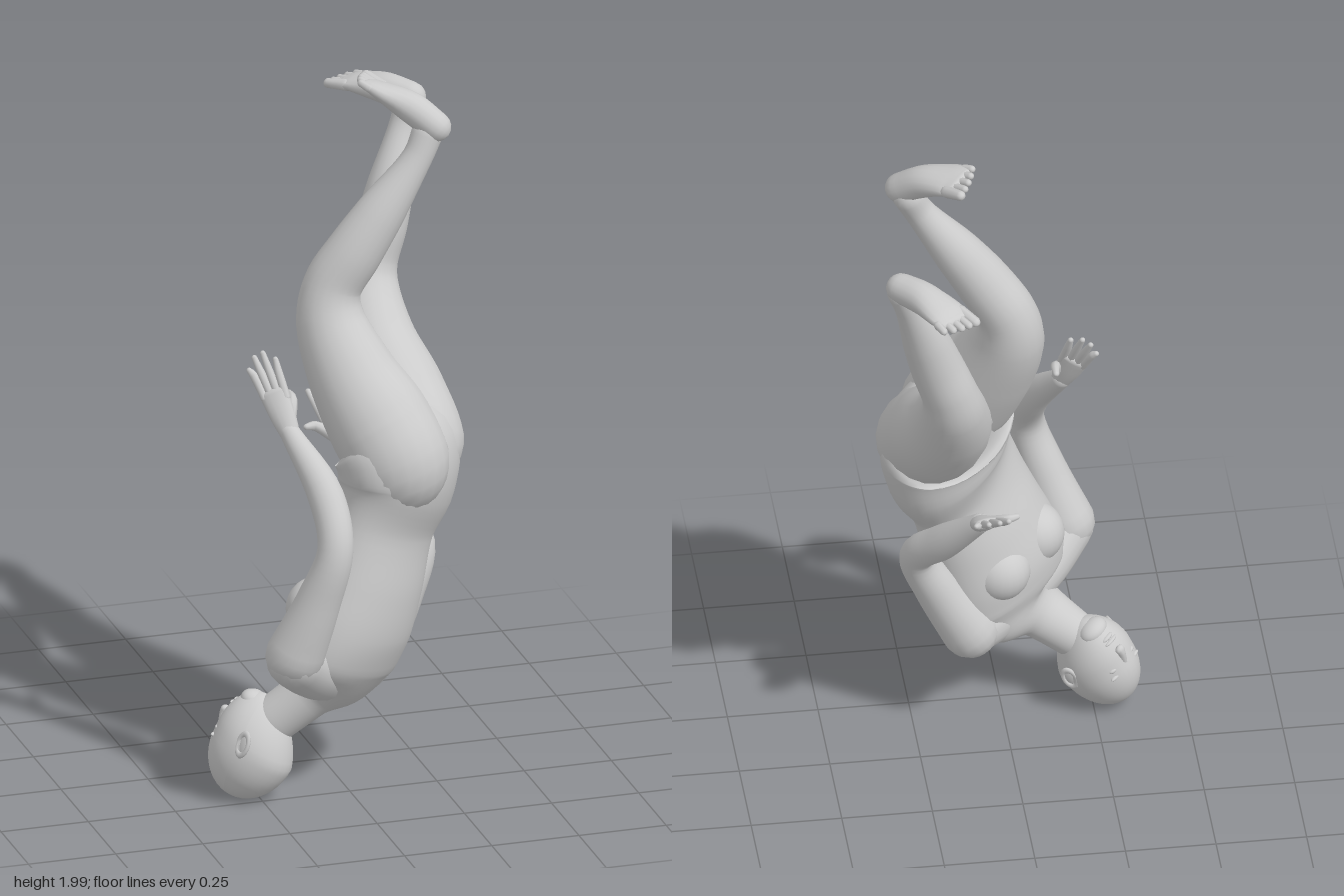
import * as THREE from 'three';

const V = (a) => new THREE.Vector3(...a);
const material = new THREE.MeshStandardMaterial({ color: 0xcccccc });
const LEFT = [0.7, -0.26, -0.66]; // the figure's own left

function add(parent, name, geometry) {
  const mesh = new THREE.Mesh(geometry, material);
  mesh.name = name;
  parent.add(mesh);
  return mesh;
}

// Smooth tube with elliptical sections and round ends.
// Each ring is [x, y, z, half width, half depth, optional sideways axis].
function loft(parent, name, rings, side = LEFT, around = 20, per = 6) {
  const spline = (pts) => new THREE.CatmullRomCurve3(pts);
  const path = spline(rings.map((r) => V(r.slice(0, 3))));
  const size = spline(rings.map((r, i) => new THREE.Vector3(r[3], r[4] ?? r[3], i * 0.01)));
  const axes = rings.map((r) => V(r[5] ?? side));
  const steps = (rings.length - 1) * per;
  const sections = [];
  const section = (u, angle, sign) => {
    const f = u * (rings.length - 1), k = Math.min(Math.floor(f), rings.length - 2);
    const t = path.getTangent(u), s = size.getPoint(u);
    const lat = axes[k].clone().lerp(axes[k + 1], f - k);
    lat.addScaledVector(t, -lat.dot(t)).normalize();
    const dep = t.clone().cross(lat);
    const c = path.getPoint(u).addScaledVector(t, sign * Math.min(s.x, s.y) * Math.sin(angle));
    const scale = Math.max(Math.cos(angle), 0.001);
    sections.push({ c, lat: lat.multiplyScalar(s.x * scale), dep: dep.multiplyScalar(s.y * scale) });
  };
  for (let k = 4; k > 0; k--) section(0, (k * Math.PI) / 8, -1);
  for (let i = 0; i <= steps; i++) section(i / steps, 0, 1);
  for (let k = 1; k <= 4; k++) section(1, (k * Math.PI) / 8, 1);

  const pos = [], index = [];
  sections.forEach(({ c, lat, dep }, i) => {
    for (let j = 0; j < around; j++) {
      const a = (j / around) * Math.PI * 2;
      pos.push(...c.clone().addScaledVector(lat, Math.cos(a)).addScaledVector(dep, Math.sin(a)).toArray());
      if (i === sections.length - 1) continue;
      const p = i * around + j, q = i * around + ((j + 1) % around);
      index.push(p, q, q + around, p, q + around, p + around);
    }
  });
  const g = new THREE.BufferGeometry();
  g.setAttribute('position', new THREE.Float32BufferAttribute(pos, 3));
  g.setIndex(index);
  g.computeVertexNormals();
  return add(parent, name, g);
}

function ball(parent, name, center, radii) {
  const mesh = add(parent, name, new THREE.SphereGeometry(1, 24, 16));
  mesh.position.set(...center);
  mesh.scale.set(...radii);
  return mesh;
}

// Palm, four spread fingers and a thumb; spread points to the thumb side.
function hand(parent, name, wrist, tip, spread, thumbTip) {
  const g = new THREE.Group();
  g.name = name;
  parent.add(g);
  const w = V(wrist), d = V(tip).sub(w), s = V(spread).normalize();
  const at = (along, across) => w.clone().addScaledVector(d, along).addScaledVector(s, across).toArray();
  loft(g, 'palm', [
    [...at(-0.05, 0), 0.027, 0.024], [...at(0.2, 0), 0.036, 0.022], [...at(0.47, 0), 0.04, 0.016],
  ], spread, 14, 4);
  [0.92, 1, 0.95, 0.8].forEach((len, i) => {
    const off = 0.03 - i * 0.02;
    loft(g, 'finger', [
      [...at(0.42, off), 0.012], [...at(0.7, off * 1.2), 0.0115], [...at(len - 0.04, off * 1.4), 0.008],
    ], spread, 8, 3);
  });
  const mid = V(at(0.33, 0.045)).lerp(V(thumbTip), 0.4).toArray();
  loft(g, 'thumb', [[...at(0.15, 0.015), 0.018], [...mid, 0.014], [...thumbTip, 0.009]], [0, 1, 0.3], 8, 4);
}

// Heel-to-ball body with five toes; inner is the sign of the big-toe side.
function foot(parent, name, heel, arch, pad, tip, side, inner) {
  const g = new THREE.Group();
  g.name = name;
  parent.add(g);
  loft(g, 'sole', [
    [...heel, 0.042, 0.042], [...arch, 0.048, 0.043], [...pad, 0.058, 0.025],
    [...V(pad).lerp(V(tip), 0.45).toArray(), 0.056, 0.015],
  ], side, 16, 5);
  const s = V(side).normalize(), p = V(pad), t = V(tip);
  for (let i = 0; i < 5; i++) {
    const off = inner * (0.041 - i * 0.0225), reach = 1 - 0.025 * i * i;
    const from = p.clone().lerp(t, 0.25).addScaledVector(s, off);
    const to = p.clone().lerp(t, reach).addScaledVector(s, off * 1.08);
    const r = i === 0 ? 0.017 : 0.0125;
    loft(g, 'toe', [[...from.toArray(), r], [...to.toArray(), r * 0.85]], side, 8, 4);
  }
}

function head(parent) {
  const g = new THREE.Group();
  g.name = 'head';
  const left = V([0.66, -0.28, -0.7]).normalize();
  const up = V([-0.45, -0.88, -0.1]);
  up.addScaledVector(left, -up.dot(left)).normalize();
  g.quaternion.setFromRotationMatrix(new THREE.Matrix4().makeBasis(left, up, left.clone().cross(up)));
  g.position.set(-0.26, 0.145, 0.2);
  parent.add(g);

  // Skull narrowing forward into the jaw
  const skull = new THREE.SphereGeometry(1, 32, 24), p = skull.attributes.position;
  for (let i = 0; i < p.count; i++) {
    const y = p.getY(i), t = Math.max(-y, 0);
    p.setXYZ(i, p.getX(i) * (1 - 0.22 * t * t) * 0.102, y * 0.147, (p.getZ(i) * (1 - 0.12 * t) + 0.3 * t) * 0.122);
  }
  skull.computeVertexNormals();
  add(g, 'skull', skull);

  // Face
  loft(g, 'nose', [[0, 0.005, 0.112, 0.009], [0, -0.03, 0.125, 0.011], [0, -0.045, 0.128, 0.015, 0.011]], [1, 0, 0], 10, 4);
  ball(g, 'upperLip', [0, -0.076, 0.113], [0.024, 0.006, 0.009]);
  ball(g, 'lowerLip', [0, -0.088, 0.107], [0.021, 0.007, 0.01]);
  ball(g, 'chin', [0, -0.112, 0.066], [0.045, 0.03, 0.038]);
  for (const s of [-1, 1]) {
    ball(g, 'eye', [s * 0.037, -0.002, 0.102], [0.018, 0.009, 0.012]);
    ball(g, 'brow', [s * 0.037, 0.02, 0.102], [0.026, 0.007, 0.009]);
    const ear = new THREE.Group();
    ear.name = 'ear';
    ear.position.set(s * 0.102, -0.02, -0.005);
    ear.rotation.set(-0.2, s * (Math.PI / 2 - 0.35), 0);
    g.add(ear);
    const rim = add(ear, 'earRim', new THREE.TorusGeometry(0.019, 0.006, 8, 20));
    rim.scale.y = 1.6;
    ball(ear, 'earBowl', [0, 0, -0.003], [0.018, 0.03, 0.006]);
  }
}

export function createModel() {
  const model = new THREE.Group();
  model.name = 'upsideDownFigure';
  const hips = [0.62, -0.05, -0.78];

  // Torso from crotch down to the neck
  loft(model, 'torso', [
    [0.105, 1.07, 0.13, 0.11, 0.075, hips],
    [0.15, 0.98, 0.197, 0.235, 0.16, hips],
    [0.145, 0.88, 0.215, 0.222, 0.152, hips],
    [0.1, 0.76, 0.233, 0.188, 0.122],
    [0.053, 0.62, 0.243, 0.197, 0.14],
    [0.01, 0.5, 0.247, 0.21, 0.147],
    [-0.02, 0.41, 0.246, 0.21, 0.13],
    [-0.05, 0.35, 0.24, 0.165, 0.1],
    [-0.11, 0.3, 0.23, 0.08, 0.07],
    [-0.21, 0.22, 0.205, 0.064, 0.066],
  ], LEFT, 36, 6);
  loft(model, 'shoulders', [
    [-0.2, 0.465, 0.385, 0.078], [-0.12, 0.405, 0.315, 0.085], [-0.03, 0.365, 0.24, 0.088],
    [0.04, 0.345, 0.175, 0.085], [0.1, 0.34, 0.115, 0.074],
  ], [0.45, 0.87, 0]);
  ball(model, 'breast', [0.015, 0.515, 0.146], [0.088, 0.088, 0.088]);
  ball(model, 'breast', [-0.092, 0.555, 0.25], [0.088, 0.088, 0.088]);
  head(model);

  // Arms
  loft(model, 'rightArm', [
    [-0.2, 0.48, 0.387, 0.082], [-0.145, 0.64, 0.42, 0.063], [-0.1, 0.8, 0.437, 0.05],
    [-0.105, 0.93, 0.365, 0.05], [-0.17, 1.08, 0.24, 0.028],
  ]);
  hand(model, 'rightHand', [-0.17, 1.08, 0.24], [-0.23, 1.285, 0.13], [0.78, 0.1, 0.4], [-0.145, 1.16, 0.155]);
  loft(model, 'leftArm', [
    [0.1, 0.345, 0.11, 0.08], [0.19, 0.5, 0.1, 0.063], [0.25, 0.64, 0.07, 0.049],
    [0.19, 0.74, -0.01, 0.049], [0.1, 0.87, -0.11, 0.028],
  ]);
  hand(model, 'leftHand', [0.1, 0.87, -0.11], [0.08, 0.99, -0.28], [-0.95, 0.15, -0.05], [0.005, 0.92, -0.16]);

  // Legs, each starting in the buttock
  loft(model, 'rightLeg', [
    [0.15, 0.86, 0.265, 0.08], [0.13, 0.97, 0.295, 0.14], [0.09, 1.07, 0.245, 0.145],
    [0.03, 1.2, 0.17, 0.123], [-0.01, 1.34, 0.105, 0.096], [0.0, 1.43, 0.09, 0.082],
    [0.06, 1.53, 0.1, 0.078], [0.135, 1.64, 0.105, 0.067], [0.24, 1.79, 0.105, 0.042],
    [0.272, 1.855, 0.095, 0.044],
  ]);
  foot(model, 'rightFoot', [0.292, 1.873, 0.108], [0.235, 1.92, 0.066], [0.168, 1.957, 0.012], [0.122, 1.983, -0.047], [0.62, -0.27, -0.7], 1);
  loft(model, 'leftLeg', [
    [0.21, 0.86, 0.19, 0.08], [0.215, 0.97, 0.158, 0.138], [0.197, 1.07, 0.055, 0.137],
    [0.175, 1.19, -0.07, 0.113], [0.18, 1.31, -0.16, 0.088], [0.195, 1.38, -0.185, 0.077],
    [0.23, 1.48, -0.195, 0.073], [0.265, 1.59, -0.215, 0.064], [0.315, 1.74, -0.257, 0.041],
    [0.335, 1.8, -0.265, 0.043],
  ]);
  foot(model, 'leftFoot', [0.338, 1.813, -0.268], [0.287, 1.82, -0.33], [0.235, 1.818, -0.405], [0.19, 1.808, -0.47], [0.75, 0, -0.65], -1);
  return model;
}
